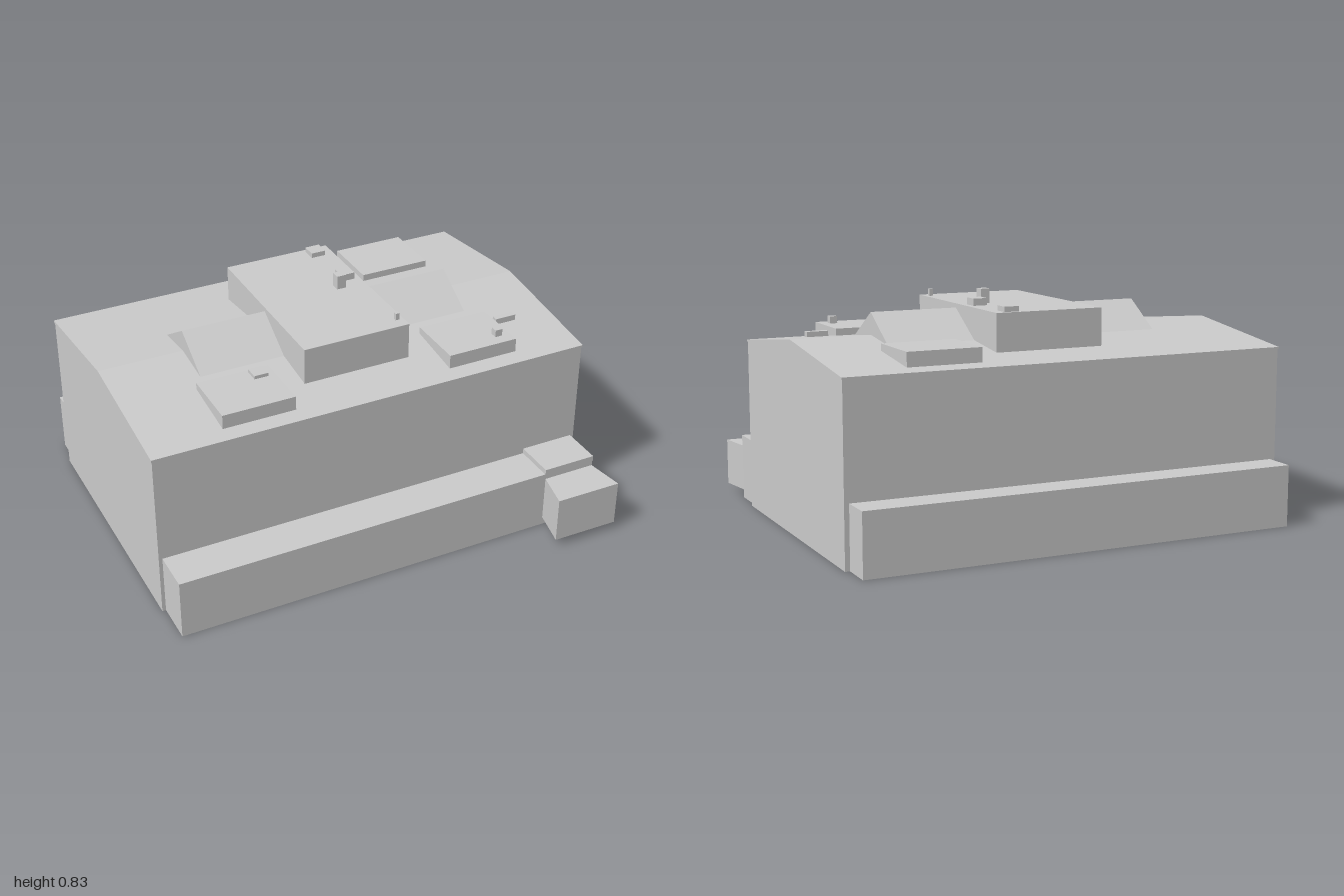
import * as THREE from 'three';

const material = new THREE.MeshStandardMaterial({ color: 0xcccccc, flatShading: true });

export function createModel() {
  const model = new THREE.Group();
  model.name = 'building';
  // The plan is turned on its plot; all parts are laid out square to the walls
  model.rotation.y = -0.484;

  const add = (name, geometry) => {
    const mesh = new THREE.Mesh(geometry, material);
    mesh.name = name;
    model.add(mesh);
    return mesh;
  };

  // Box given by its limits on each axis
  const box = (name, x0, x1, y0, y1, z0, z1) =>
    add(name, new THREE.BoxGeometry(x1 - x0, y1 - y0, z1 - z0))
      .position.set((x0 + x1) / 2, (y0 + y1) / 2, (z0 + z1) / 2);

  // Upright [x, y] profile carried from z0 to z1
  const prism = (name, points, z0, z1) => {
    const shape = new THREE.Shape(points.map(([x, y]) => new THREE.Vector2(x, y)));
    add(name, new THREE.ExtrudeGeometry(shape, { depth: z1 - z0, bevelEnabled: false }))
      .position.z = z0;
  };

  // Main hall and thin gable roof
  const west = -0.572, east = 0.42, ridge = -0.075;
  prism('mainHall', [[west, 0], [east, 0], [east, 0.615], [ridge, 0.674], [west, 0.615]], -0.786, 0.842);
  prism('roof', [
    [west - 0.003, 0.614], [ridge, 0.673], [east + 0.003, 0.614],
    [east + 0.003, 0.622], [ridge, 0.681], [west - 0.003, 0.622],
  ], -0.789, 0.845);

  // Low side wings
  box('rightWing', -0.686, west, 0, 0.22, -0.769, 0.823);
  box('leftWing', east, 0.57, 0, 0.22, -0.772, 0.829);
  box('wingCap', east, 0.572, 0.22, 0.24, -0.773, -0.572);

  // Slightly skewed porch at the end of the left wing
  const porch = new THREE.Shape([
    [0.568, 0.575], [0.706, 0.545], [0.708, 0.792], [0.568, 0.771],
  ].map(([x, y]) => new THREE.Vector2(x, y)));
  const porchGeometry = new THREE.ExtrudeGeometry(porch, { depth: 0.17, bevelEnabled: false });
  porchGeometry.rotateX(-Math.PI / 2);
  add('porch', porchGeometry).position.y = 0.03;

  // Central roof block with a ridged skylight at each end
  box('roofBlock', -0.408, 0.251, 0.62, 0.775, -0.177, 0.223);
  for (const [name, z0, z1] of [['frontSkylight', 0.2, 0.535], ['backSkylight', -0.497, -0.16]]) {
    prism(name, [[-0.247, 0.652], [0.1, 0.652], [ridge, 0.76]], z0, z1);
  }

  // Flat plant rooms
  box('plantRoomBackRight', -0.513, -0.292, 0.62, 0.68, -0.545, -0.278);
  box('plantRoomBackLeft', 0.144, 0.363, 0.62, 0.68, -0.545, -0.28);
  box('plantRoomFrontLeft', 0.14, 0.365, 0.62, 0.68, 0.308, 0.573);

  // Vents and flues: [x, z, size, base, top]
  const vents = [
    [-0.366, -0.114, 0.055, 0.77, 0.793],
    [-0.152, -0.13, 0.052, 0.77, 0.8],
    [-0.097, -0.081, 0.034, 0.77, 0.826],
    [0.201, -0.154, 0.014, 0.77, 0.8],
    [0.308, -0.499, 0.027, 0.67, 0.706],
    [0.179, 0.362, 0.053, 0.67, 0.692],
  ];
  for (const [x, z, s, y0, y1] of vents) {
    box('roofVent', x - s / 2, x + s / 2, y0, y1, z - s / 2, z + s / 2);
  }
  box('roofDuct', 0.176, 0.2, 0.645, 0.67, -0.643, -0.563);

  const root = new THREE.Group();
  root.add(model);
  return root;
}
